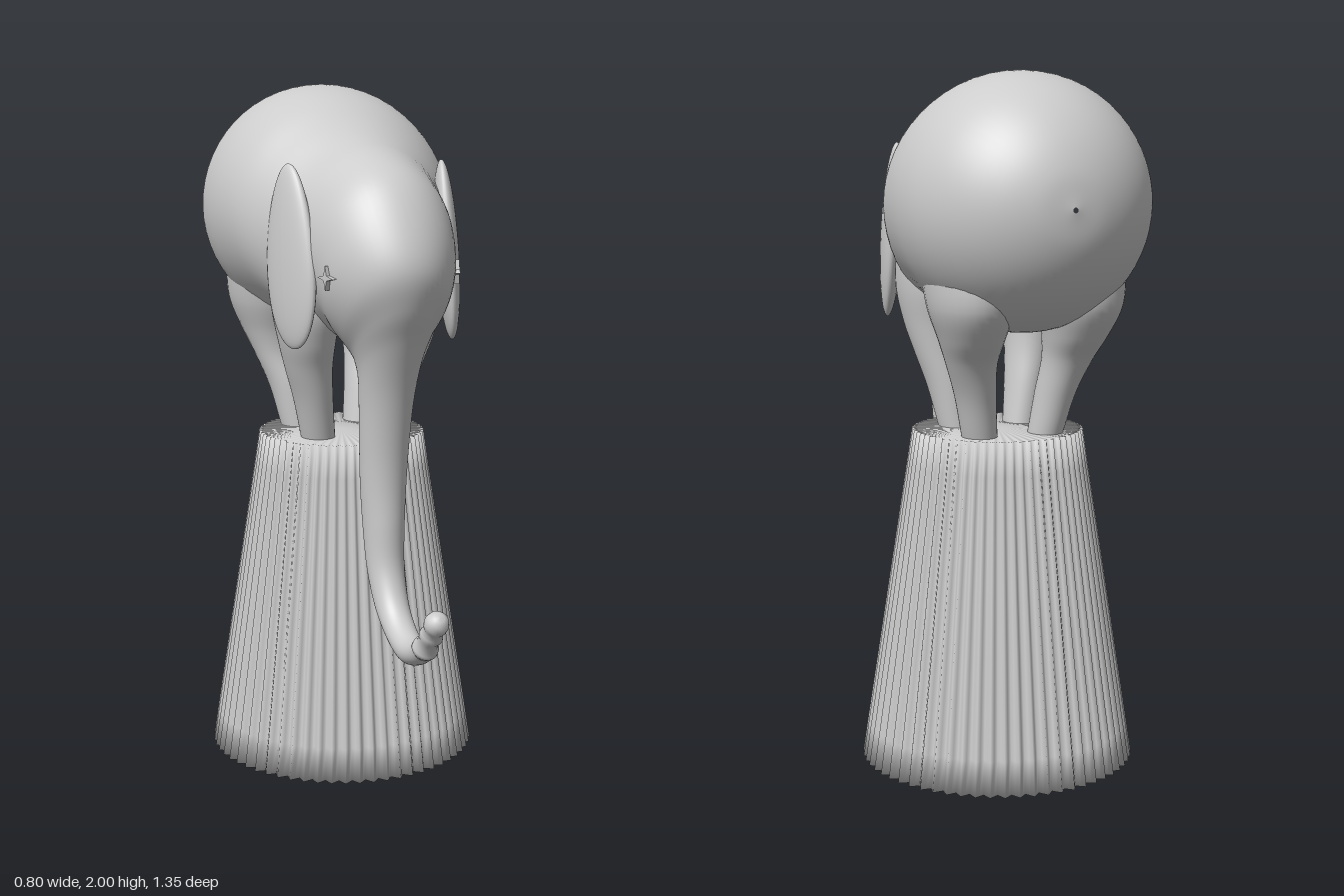
import * as THREE from 'three';
import { mergeVertices } from 'three/addons/utils/BufferGeometryUtils.js';

const V = (x, y, z) => new THREE.Vector3(x, y, z);

// Smooth skin through elliptical rings; ringAt(t) gives centre c and half axes u, v.
function loft(ringAt, rows, segs) {
  const pos = [], idx = [];
  for (let i = 0; i <= rows; i++) {
    const { c, u, v } = ringAt(i / rows);
    for (let j = 0; j < segs; j++) {
      const a = (j / segs) * Math.PI * 2;
      const p = c.clone().addScaledVector(u, Math.cos(a)).addScaledVector(v, Math.sin(a));
      pos.push(p.x, p.y, p.z);
      if (i === rows) continue;
      const k = (j + 1) % segs;
      const A = i * segs + j, B = i * segs + k, C = A + segs, D = B + segs;
      idx.push(A, B, C, B, D, C);
    }
  }
  const g = new THREE.BufferGeometry();
  g.setAttribute('position', new THREE.Float32BufferAttribute(pos, 3));
  g.setIndex(idx);
  g.computeVertexNormals();
  return g;
}

// Rump, back, head and trunk: [top z, top y, bottom z, bottom y, half width]
function bodyGeometry() {
  const sections = [];
  for (let d = 1; d <= 91; d += 15) {
    const a = THREE.MathUtils.degToRad(d), s = Math.sin(a);
    const z = -0.3 - 0.373 * Math.cos(a);
    sections.push([z, 1.64 + 0.36 * s, z, 1.64 - 0.36 * s, 0.358 * s]);
  }
  sections.push(
    [-0.2, 1.992, -0.2, 1.29, 0.353],
    [-0.1, 1.962, -0.1, 1.3, 0.335],
    [0, 1.908, -0.01, 1.29, 0.3],
    [0.1, 1.86, 0.06, 1.285, 0.258],
    [0.2, 1.832, 0.12, 1.285, 0.223],
    [0.33, 1.768, 0.155, 1.285, 0.205],
    [0.42, 1.65, 0.17, 1.27, 0.185],
    [0.463, 1.53, 0.18, 1.25, 0.15],
    [0.44, 1.42, 0.182, 1.22, 0.112],
    [0.395, 1.32, 0.183, 1.17, 0.09],
    [0.345, 1.18, 0.176, 1.09, 0.078],
    [0.314, 1.02, 0.17, 0.98, 0.071],
    [0.304, 0.9, 0.167, 0.88, 0.066],
    [0.306, 0.79, 0.172, 0.77, 0.06],
    [0.317, 0.65, 0.207, 0.62, 0.053],
    [0.37, 0.552, 0.287, 0.505, 0.047],
    [0.455, 0.505, 0.44, 0.424, 0.042],
    [0.515, 0.512, 0.53, 0.443, 0.038],
    [0.545, 0.53, 0.588, 0.482, 0.034],
  );
  const top = new THREE.CatmullRomCurve3(sections.map(s => V(s[4], s[1], s[0])));
  const bottom = new THREE.CatmullRomCurve3(sections.map(s => V(0, s[3], s[2])));
  return loft(t => {
    const p = top.getPoint(t), q = bottom.getPoint(t), w = p.x;
    p.x = 0;
    return {
      c: p.clone().add(q).multiplyScalar(0.5),
      u: V(w, 0, 0),
      v: p.clone().sub(q).multiplyScalar(0.5),
    };
  }, 150, 56);
}

// Leg flaring into the body: [y, centre x, centre z, radius x, radius z]
function legGeometry(sections) {
  const centre = new THREE.CatmullRomCurve3(sections.map(s => V(s[1], s[0], s[2])));
  const radius = new THREE.CatmullRomCurve3(sections.map(s => V(s[3], s[0], s[4])));
  return loft(t => {
    const r = radius.getPoint(t);
    return { c: centre.getPoint(t), u: V(r.x, 0, 0), v: V(0, 0, -r.z) };
  }, 30, 32);
}

// Thick drooping ear, narrower and swept back at the top
function earGeometry() {
  const g = new THREE.SphereGeometry(1, 32, 32);
  const p = g.attributes.position;
  for (let i = 0; i < p.count; i++) {
    const y = p.getY(i);
    p.setXYZ(i, p.getX(i) * 0.034, y * 0.257, p.getZ(i) * (0.108 - 0.02 * y) - 0.03 * y);
  }
  g.computeVertexNormals();
  return g;
}

// Four-pointed star for the eye
function eyeGeometry() {
  const star = new THREE.Shape();
  for (let i = 0; i < 8; i++) {
    const r = i % 2 ? 0.01 : 0.034, a = (i * Math.PI) / 4;
    if (i) star.lineTo(r * Math.cos(a), r * Math.sin(a));
    else star.moveTo(r, 0);
  }
  return new THREE.ExtrudeGeometry(star, { depth: 0.02, bevelEnabled: false });
}

// Tapered stand with 60 flutes
function standGeometry() {
  const g = new THREE.CylinderGeometry(0.248, 0.4, 0.98, 240, 10);
  const p = g.attributes.position;
  for (let i = 0; i < p.count; i++) {
    const a = Math.atan2(p.getX(i), p.getZ(i));
    const k = 1 - 0.03 * (1 - Math.cos(60 * a));
    p.setXYZ(i, p.getX(i) * k, p.getY(i), p.getZ(i) * k);
  }
  g.deleteAttribute('normal');
  g.deleteAttribute('uv');
  const m = mergeVertices(g, 1e-5);
  m.computeVertexNormals();
  return m;
}

export function createModel() {
  const model = new THREE.Group();
  const grey = new THREE.MeshStandardMaterial({ color: 0xcccccc });
  grey.name = 'grey';

  const add = (name, geometry, parent = model) => {
    const mesh = new THREE.Mesh(geometry, grey);
    mesh.name = name;
    parent.add(mesh);
    return mesh;
  };

  add('stand', standGeometry()).position.set(0, 0.49, -0.12);
  add('bodyHeadAndTrunk', bodyGeometry());

  // Knobbly trunk tip, pointing forward and up
  const tipProfile = [
    [0, -0.02], [0.03, -0.015], [0.038, 0], [0.037, 0.012], [0.03, 0.022], [0.029, 0.05],
    [0.034, 0.066], [0.031, 0.08], [0.027, 0.095], [0.033, 0.112], [0.035, 0.128],
    [0.029, 0.146], [0.015, 0.156], [0, 0.158],
  ].map(([r, y]) => new THREE.Vector2(r, y));
  const tip = add('trunkTip', new THREE.LatheGeometry(tipProfile, 28));
  tip.position.set(0, 0.5, 0.56);
  tip.rotation.x = 0.7;

  const frontLeg = [
    [0.975, 0.1, -0.045, 0.05, 0.055], [1.1, 0.122, -0.025, 0.058, 0.07],
    [1.2, 0.142, -0.006, 0.07, 0.082], [1.28, 0.152, 0.01, 0.083, 0.1],
    [1.38, 0.155, 0.015, 0.1, 0.12], [1.52, 0.15, 0, 0.11, 0.1],
  ];
  const rearLeg = [
    [0.975, 0.1, -0.238, 0.05, 0.056], [1.1, 0.122, -0.262, 0.058, 0.068],
    [1.2, 0.145, -0.293, 0.072, 0.083], [1.27, 0.155, -0.318, 0.09, 0.118],
    [1.36, 0.162, -0.33, 0.115, 0.165], [1.5, 0.16, -0.31, 0.13, 0.19],
  ];

  // Paired parts; the right side turns the same shapes by mirroring x in the sections or pose
  for (const [side, s] of [['left', 1], ['right', -1]]) {
    const mirror = sections => sections.map(([y, x, ...rest]) => [y, s * x, ...rest]);
    add(side + 'FrontLeg', legGeometry(mirror(frontLeg)));
    add(side + 'RearLeg', legGeometry(mirror(rearLeg)));

    const ear = add(side + 'Ear', earGeometry());
    ear.position.set(s * 0.236, 1.54, 0.125);
    ear.rotation.set(0, -s * 0.3, s * 0.06);

    const eye = add(side + 'Eye', eyeGeometry());
    eye.position.set(s * 0.18, 1.5, 0.3);
    eye.rotation.y = s * (Math.PI / 2 - 0.3);
  }
  return model;
}
